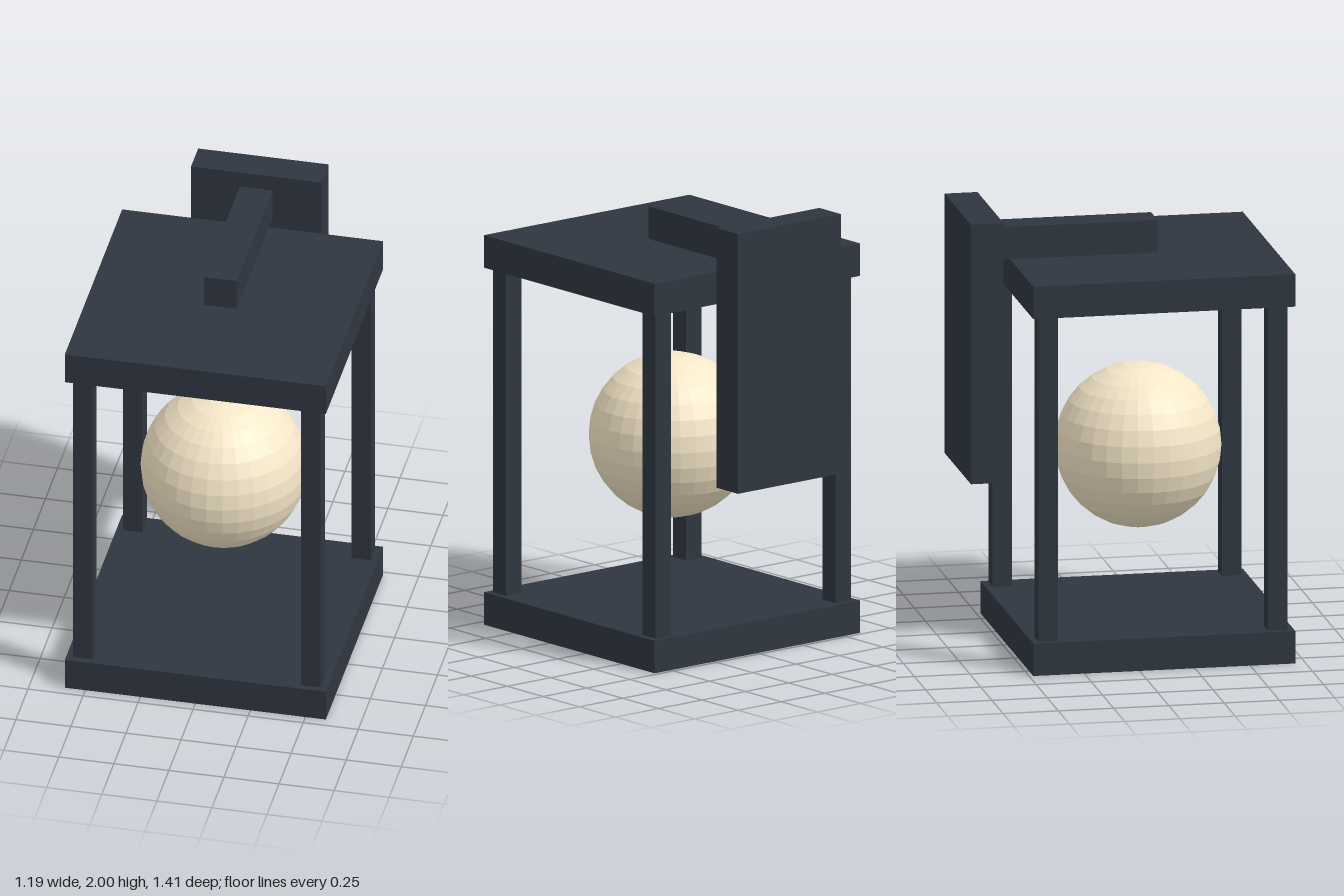
import * as THREE from 'three';

// Hanging wall lantern laid out on a simple module: 13.5 units tall = 2
const U = 2 / 13.5;

export function createModel() {
  const model = new THREE.Group();
  const metal = new THREE.MeshStandardMaterial({ color: 0x2f3640, flatShading: true });
  const glow = new THREE.MeshStandardMaterial({ color: 0xf5e6c8, flatShading: true });

  function add(name, geometry, material, x, y, z) {
    const mesh = new THREE.Mesh(geometry, material);
    mesh.name = name;
    mesh.position.set(x * U, y * U, z * U);
    model.add(mesh);
  }
  const box = (w, h, d) => new THREE.BoxGeometry(w * U, h * U, d * U);

  const cz = 0.75; // lantern axis, forward of the wall plate

  // Cage: two square plates joined by corner posts
  add('basePlate', box(8, 1, 8), metal, 0, 0.5, cz);
  add('topPlate', box(8, 1, 8), metal, 0, 11.5, cz);
  for (const sx of [-1, 1]) {
    for (const sz of [-1, 1]) {
      const name = (sz > 0 ? 'front' : 'back') + (sx > 0 ? 'Left' : 'Right') + 'Post';
      add(name, box(0.6, 10, 0.6), metal, sx * 3.5, 6, cz + sz * 3.5);
    }
  }

  // Faceted globe floating in the cage
  add('globe', new THREE.SphereGeometry(2.5 * U, 32, 16), glow, 0, 6, cz);

  // Bracket: arm over the top plate and the wall plate behind
  add('bracketArm', box(1, 1, 5), metal, 0, 12.5, -1.25);
  add('wallPlate', box(4, 8, 1), metal, 0, 9.5, -4.25);

  return model;
}
